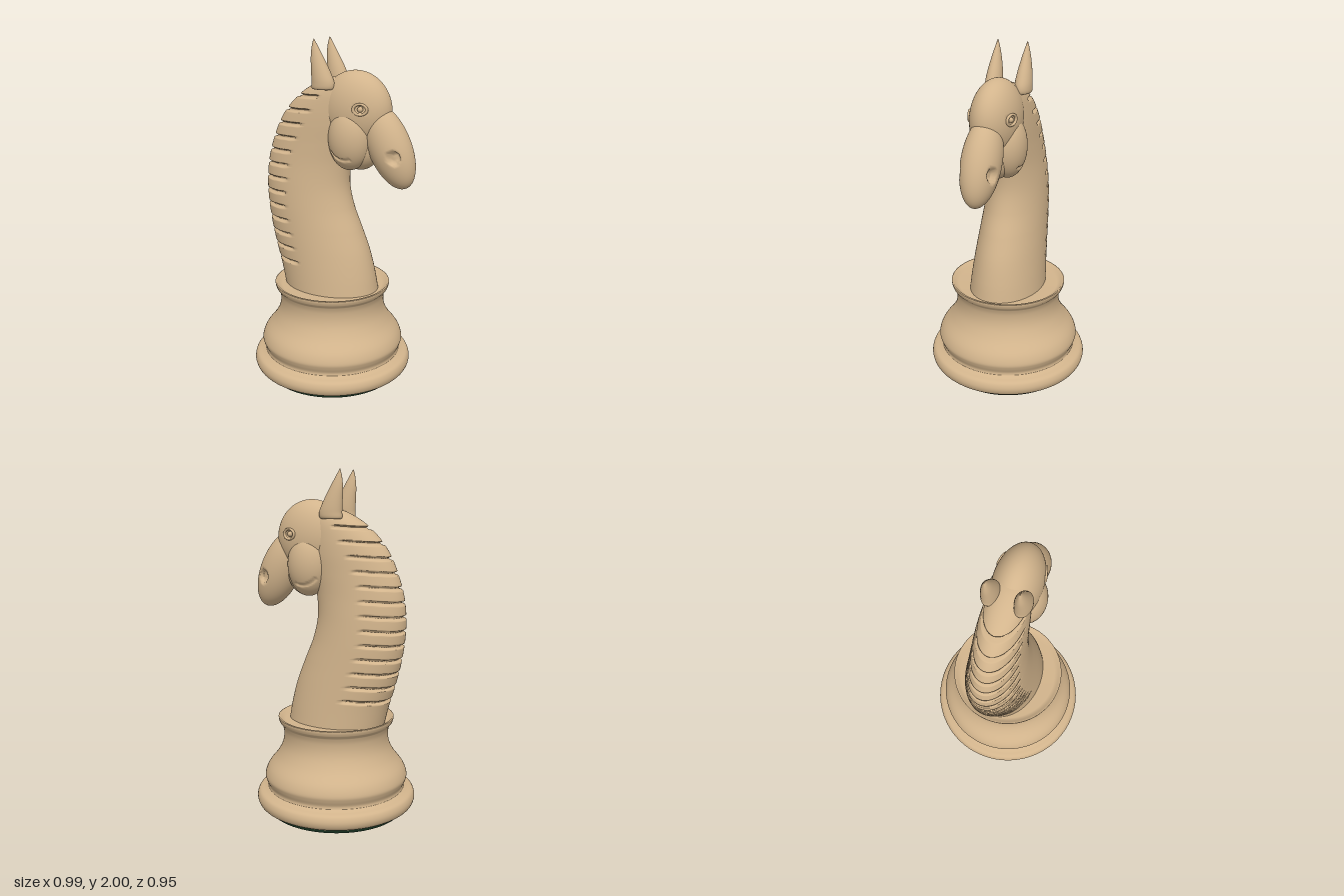
import * as THREE from 'three';

const wood = new THREE.MeshStandardMaterial({ color: 0xd2b48c, side: THREE.DoubleSide });
const felt = new THREE.MeshStandardMaterial({ color: 0x17301f });
const BASE_X = -0.025;

function part(name, geometry, material = wood) {
  const mesh = new THREE.Mesh(geometry, material);
  mesh.name = name;
  return mesh;
}

// Stack of elliptical slices: each section is [y, back x, front x, half width in z]
function loft(sections, rows, segs, cz = 0, carve) {
  const curve = (f) => new THREE.CatmullRomCurve3(sections.map(f), false, 'catmullrom', 0.5);
  const back = curve((s) => new THREE.Vector3(s[1], s[0], s[3]));
  const front = curve((s) => new THREE.Vector3(s[2], s[0], 0));
  const pos = [], index = [];
  for (let i = 0; i <= rows; i++) {
    const b = back.getPoint(i / rows), f = front.getPoint(i / rows);
    const cx = (b.x + f.x) / 2, rx = Math.max((f.x - b.x) / 2, 0), rz = Math.max(b.z, 0);
    for (let j = 0; j < segs; j++) {
      const a = (j / segs) * Math.PI * 2;
      const x = cx + rx * Math.cos(a);
      const d = carve ? carve(x, b.y) : 0;
      pos.push(x - d * Math.cos(a), b.y, cz + (rz - d) * Math.sin(a));
      if (i < rows) {
        const p = i * segs + j, q = i * segs + ((j + 1) % segs);
        index.push(p, p + segs, q, q, p + segs, q + segs);
      }
    }
  }
  const g = new THREE.BufferGeometry();
  g.setAttribute('position', new THREE.Float32BufferAttribute(pos, 3));
  g.setIndex(index);
  g.computeVertexNormals();
  return g;
}

// Tilted ellipsoid; carve(x, y, z) gives how far a vertex is pushed towards z = 0
function ellipsoid([cx, cy, cz], [rx, ry, rz], tilt = 0, carve) {
  const g = new THREE.SphereGeometry(1, 72, 54);
  g.scale(rx, ry, rz).rotateZ(tilt).translate(cx, cy, cz);
  if (carve) {
    const p = g.attributes.position;
    for (let i = 0; i < p.count; i++) {
      const z = p.getZ(i);
      p.setZ(i, z - Math.sign(z) * carve(p.getX(i), p.getY(i), z));
    }
    g.computeVertexNormals();
  }
  return g;
}

// Smooth dip of given depth around an elliptical spot
const dip = (cx, cy, rx, ry, depth) => (x, y, z) => {
  const d = Math.hypot((x - cx) / rx, (y - cy) / ry);
  return Math.abs(z) < 0.03 ? 0 : depth * (1 - THREE.MathUtils.smoothstep(d, 0.65, 1));
};

// Mane cuts: thin slots round the back of the neck, [height, front end]
const cuts = [-0.15, -0.18, -0.2, -0.225, -0.245, -0.245, -0.24, -0.235, -0.22, -0.19, -0.15, -0.1, -0.05]
  .map((x, i) => [0.715 + i * 0.081, x]);
function maneDepth(x, y) {
  for (const [cy, end] of cuts) {
    const dy = Math.abs(y - cy - 0.06 * (x - end));
    if (dy < 0.012 && x < end) {
      return 0.02 * (1 - THREE.MathUtils.smoothstep(dy, 0.005, 0.012)) * Math.min(1, (end - x) / 0.02);
    }
  }
  return 0;
}

// Curved jaw line on each cheek
function jawLine(x, y) {
  const dx = x - 0.125, dy = y - 1.46;
  const a = Math.atan2(dy, dx);
  if (a < -2.5 || a > -1.2) return 0;
  return 0.012 * (1 - THREE.MathUtils.smoothstep(Math.abs(Math.hypot(dx, dy) - 0.105), 0.002, 0.009));
}

export function createModel() {
  const group = new THREE.Group();

  // Felt pad and turned base
  const pad = part('feltPad', new THREE.CylinderGeometry(0.412, 0.405, 0.04, 96), felt);
  pad.position.set(BASE_X, 0.02, 0);
  group.add(pad);

  const v = (r, y) => new THREE.Vector2(r, y);
  const rounded = (pts, n) => new THREE.SplineCurve(pts).getPoints(n);
  const profile = [
    v(0, 0.03), v(0.42, 0.03),
    ...rounded([v(0.44, 0.032), v(0.465, 0.05), v(0.475, 0.085), v(0.462, 0.12), v(0.43, 0.133)], 16),
    ...rounded([v(0.41, 0.142), v(0.408, 0.16), v(0.42, 0.19), v(0.425, 0.22), v(0.405, 0.27),
      v(0.355, 0.335), v(0.325, 0.39), v(0.312, 0.44), v(0.312, 0.49), v(0.322, 0.525)], 40),
    ...rounded([v(0.335, 0.54), v(0.342, 0.558), v(0.343, 0.572)], 6),
    v(0.336, 0.574), v(0.325, 0.562), v(0.3, 0.55), v(0, 0.548),
  ];
  const base = part('base', new THREE.LatheGeometry(profile, 96));
  base.position.x = BASE_X;
  group.add(base);

  // Neck with the mane cut into its back
  group.add(part('neck', loft([
    [0.52, -0.32, 0.27, 0.22], [0.65, -0.352, 0.247, 0.209], [0.78, -0.392, 0.213, 0.198],
    [0.91, -0.425, 0.163, 0.187], [1.04, -0.446, 0.11, 0.176], [1.17, -0.453, 0.082, 0.163],
    [1.3, -0.44, 0.09, 0.148], [1.42, -0.405, 0.12, 0.138], [1.53, -0.357, 0.15, 0.131],
    [1.62, -0.292, 0.16, 0.122], [1.7, -0.205, 0.16, 0.108], [1.75, -0.12, 0.15, 0.088],
    [1.785, -0.03, 0.13, 0.055], [1.8, 0.05, 0.05, 0],
  ], 320, 80, 0, maneDepth)));

  // Head
  group.add(part('skull', ellipsoid([0.13, 1.615, 0], [0.213, 0.22, 0.134], 0,
    dip(0.215, 1.64, 0.034, 0.026, 0.016))));
  group.add(part('muzzle', ellipsoid([0.337, 1.43, 0], [0.123, 0.25, 0.109], 0.45,
    dip(0.405, 1.388, 0.036, 0.042, 0.03))));
  group.add(part('jaw', ellipsoid([0.16, 1.42, 0], [0.12, 0.14, 0.11])));

  for (const side of [1, -1]) {
    const name = side > 0 ? 'left' : 'right';
    group.add(part(name + 'Cheek', ellipsoid([0.122, 1.465, side * 0.06], [0.126, 0.18, 0.106], 0,
      (x, y, z) => (z * side > 0.06 ? jawLine(x, y) : 0))));

    // Eye: raised lid around a small eyeball
    const eye = new THREE.Group();
    eye.name = name + 'Eye';
    const lid = part('eyelid', new THREE.TorusGeometry(0.034, 0.008, 12, 40));
    lid.scale.set(1.1, 0.85, 1);
    const ball = part('eyeball', new THREE.SphereGeometry(0.016, 24, 16));
    ball.position.z = -0.007 * side;
    eye.add(lid, ball);
    eye.position.set(0.215, 1.64, side * 0.121);
    eye.rotation.y = side * 0.27;
    group.add(eye);

    // Ear
    group.add(part(name + 'Ear', loft([
      [1.73, -0.06, -0.01, 0.01], [1.732, -0.098, 0.03, 0.042], [1.77, -0.1, 0.034, 0.047],
      [1.83, -0.103, 0.008, 0.041], [1.9, -0.106, -0.03, 0.028], [1.96, -0.101, -0.064, 0.013],
      [2.0, -0.091, -0.088, 0.001],
    ], 48, 40, side * 0.088)));
  }
  return group;
}
